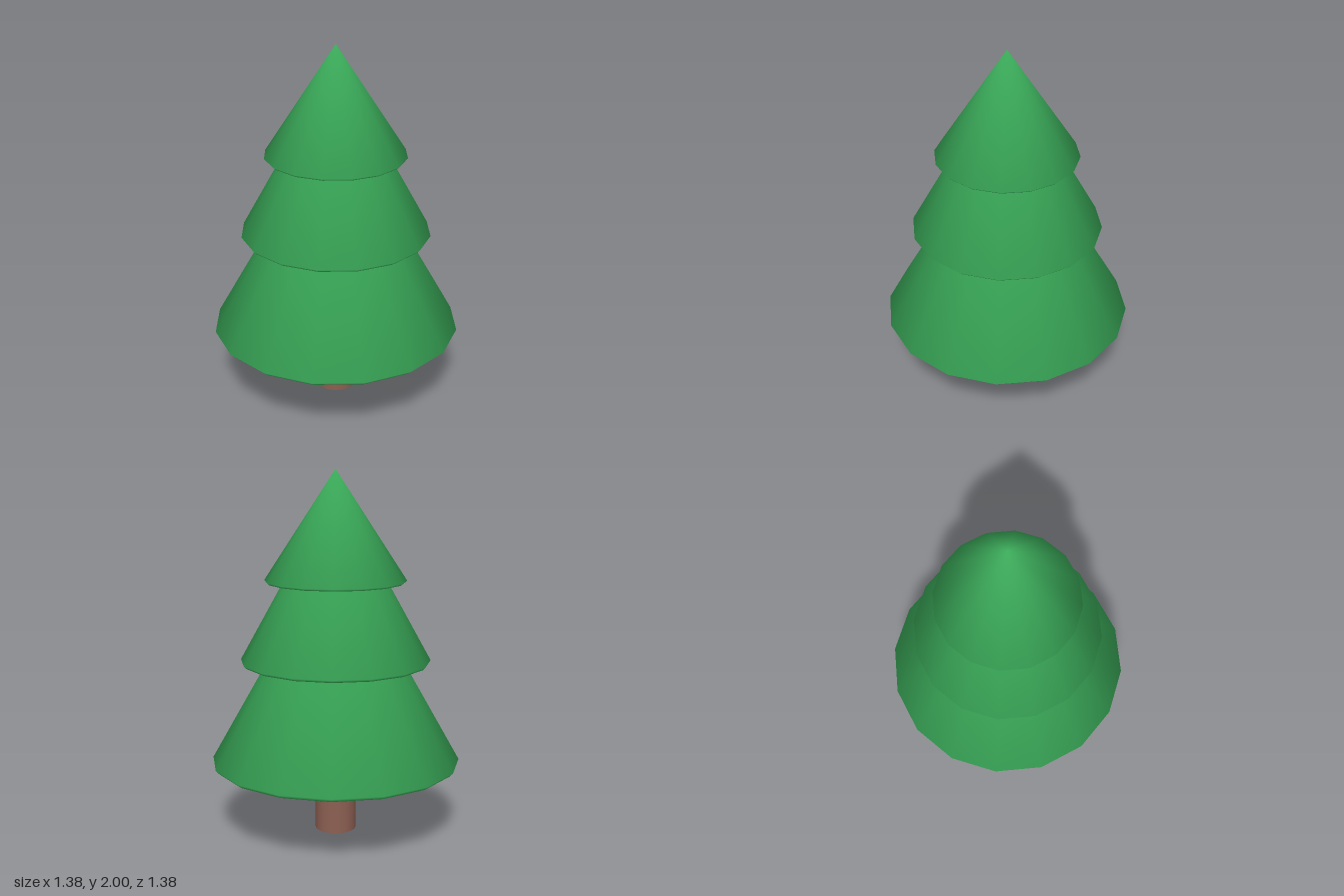
import * as THREE from 'three';

const SIDES = 16;
const leafMaterial = new THREE.MeshStandardMaterial({ color: 0x3cb05c });
const barkMaterial = new THREE.MeshStandardMaterial({ color: 0x8c5f52 });

// Closed cone with a small bevel under its rim, shaded smoothly all over.
function makeTier(name, { bottom, rim, top, bottomRadius, rimRadius }) {
  // Each row: radius, height, outward normal, upward normal
  const rows = [
    [0, bottom, 0, -1],
    [bottomRadius, bottom, 0.36, -0.93],
    [rimRadius, rim, 0.99, -0.08],
    [0, top, 0, 1],
  ];
  const geometry = new THREE.LatheGeometry(
    rows.map(([r, y]) => new THREE.Vector2(r, y)), SIDES);
  const normals = geometry.attributes.normal;
  for (let i = 0; i < normals.count; i++) {
    const angle = Math.floor(i / rows.length) / SIDES * Math.PI * 2;
    const [, , out, up] = rows[i % rows.length];
    normals.setXYZ(i, Math.sin(angle) * out, up, Math.cos(angle) * out);
  }
  const mesh = new THREE.Mesh(geometry, leafMaterial);
  mesh.name = name;
  return mesh;
}

export function createModel() {
  const tree = new THREE.Group();
  tree.name = 'pineTree';

  // Trunk, its top just inside the lowest tier
  const trunkHeight = 0.4;
  const trunk = new THREE.Mesh(
    new THREE.CylinderGeometry(0.113, 0.113, trunkHeight, 32), barkMaterial);
  trunk.position.y = trunkHeight / 2;
  trunk.name = 'trunk';
  tree.add(trunk);

  // Three stacked tiers of foliage
  tree.add(
    makeTier('lowerFoliage', { bottom: 0.385, rim: 0.405, top: 1.62, bottomRadius: 0.668, rimRadius: 0.688 }),
    makeTier('middleFoliage', { bottom: 0.953, rim: 0.968, top: 1.91, bottomRadius: 0.507, rimRadius: 0.522 }),
    makeTier('upperFoliage', { bottom: 1.396, rim: 1.407, top: 2, bottomRadius: 0.376, rimRadius: 0.387 }),
  );
  return tree;
}
